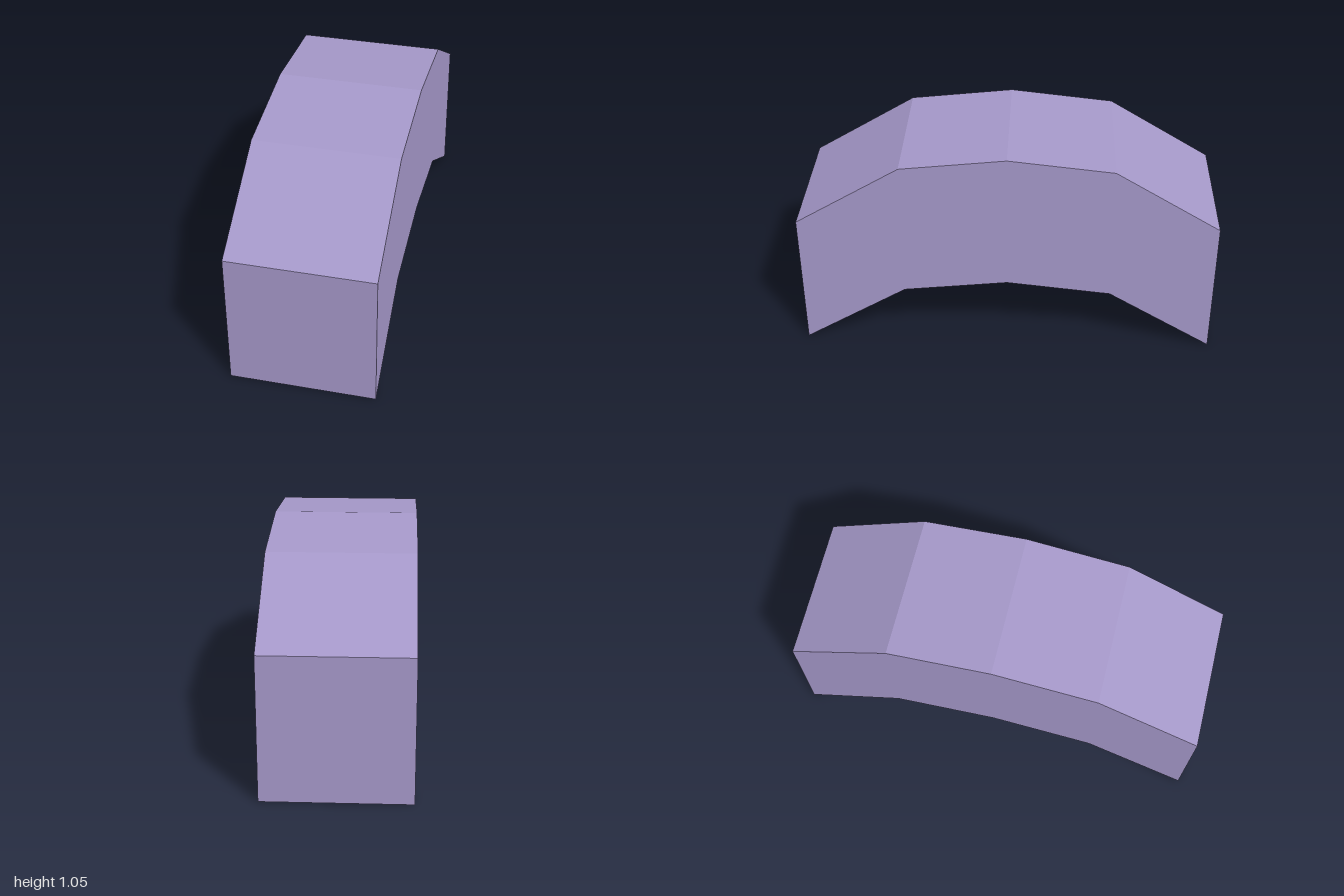
import * as THREE from 'three';

const WIDTH = 0.69;
const THICKNESS = 0.69;

export function createModel() {
  const model = new THREE.Group();
  model.name = 'archModel';

  const lavender = new THREE.MeshStandardMaterial({ color: 0xa598c9 });
  lavender.name = 'lavender';

  // Underside of the arch as (z, y); the top repeats it one thickness higher
  const underside = [[-1, 0], [-0.5, 0.305], [0, 0.36], [0.5, 0.305], [1, 0]];
  const lower = underside.map(([z, y]) => new THREE.Vector2(z, y));
  const upper = underside.map(([z, y]) => new THREE.Vector2(z, y + THICKNESS)).reverse();

  // Extrude the side profile across the width, then turn it to run along z
  const geometry = new THREE.ExtrudeGeometry(new THREE.Shape([...lower, ...upper]), {
    depth: WIDTH,
    bevelEnabled: false,
  });
  geometry.translate(0, 0, -WIDTH / 2);
  geometry.rotateY(-Math.PI / 2);

  const arch = new THREE.Mesh(geometry, lavender);
  arch.name = 'arch';
  model.add(arch);
  return model;
}
